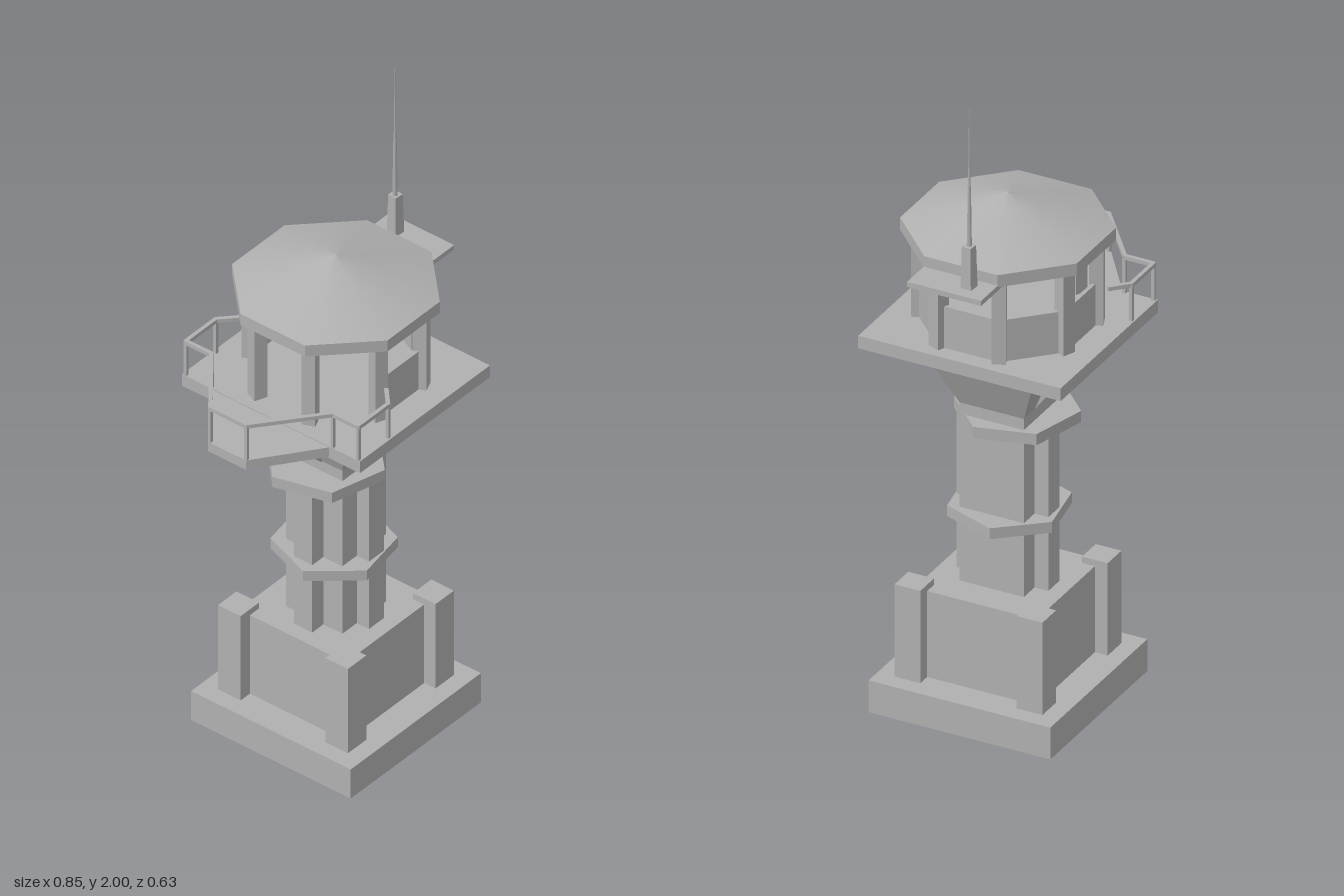
import * as THREE from 'three';

const concrete = new THREE.MeshStandardMaterial({ color: 0xb0b0b0, side: THREE.DoubleSide });
concrete.name = 'concrete grey';

export function createModel() {
  const model = new THREE.Group();
  model.name = 'watchtower';
  const tower = new THREE.Group();
  tower.name = 'tower';
  tower.position.x = 0.05; // the balcony pushes the shaft off centre
  model.add(tower);

  const add = (name, geo, x = 0, y = 0, z = 0, ry = 0, parent = tower) => {
    const m = new THREE.Mesh(geo, concrete);
    m.name = name;
    m.position.set(x, y, z);
    m.rotation.y = ry;
    parent.add(m);
    return m;
  };
  const flat = (geo) => {
    const g = geo.index ? geo.toNonIndexed() : geo;
    g.computeVertexNormals();
    return g;
  };
  // box standing on y0 and reaching y1
  const block = (name, w, y0, y1, d, x = 0, z = 0, ry = 0) =>
    add(name, new THREE.BoxGeometry(w, y1 - y0, d), x, (y0 + y1) / 2, z, ry);
  // box without its underside, and optionally without its top
  const openBox = (w, h, d, openTop) => {
    const g = new THREE.BoxGeometry(w, h, d);
    const idx = Array.from(g.index.array);
    idx.splice(openTop ? 12 : 18, openTop ? 12 : 6);
    g.clearGroups();
    g.setIndex(idx);
    return g;
  };
  // flat prism lying in the ground plane, from [x, z] corners
  const slab = (points, h, hole) => {
    const s = new THREE.Shape(points.map(([x, z]) => new THREE.Vector2(x, -z)));
    if (hole) s.holes.push(new THREE.Path(hole.map(([x, z]) => new THREE.Vector2(x, -z))));
    return new THREE.ExtrudeGeometry(s, { depth: h, bevelEnabled: false }).rotateX(-Math.PI / 2);
  };
  const square = (r) => [[-r, r], [r, r], [r, -r], [-r, -r]];

  // hollow foundation
  add('foundationWalls', openBox(0.565, 0.095, 0.565, true), 0, 0.0475);
  add('foundationLedge', slab(square(0.2825), 0.005, square(0.19)), 0, 0.095);
  add('plinth', openBox(0.38, 0.275, 0.38), 0, 0.2325);
  for (const sx of [-1, 1]) for (const sz of [-1, 1])
    block('cornerPillar', 0.08, 0.1, 0.39, 0.08, sx * 0.19, sz * 0.19);

  // square shaft with ribs on three sides
  block('shaft', 0.19, 0.37, 0.94, 0.2);
  const ribAngles = [Math.PI / 2, Math.PI, -Math.PI / 2];
  for (const a of ribAngles) {
    const rib = new THREE.Group();
    rib.name = 'shaftRib';
    rib.rotation.y = a;
    tower.add(rib);
    add('rib', new THREE.BoxGeometry(0.06, 0.51, 0.01), 0, 0, 0); // replaced below by full rib
    rib.add(tower.children.pop());
    const m = rib.children[0];
    m.parent = rib;
    m.geometry = new THREE.BoxGeometry(0.065, 0.51, 0.06);
    // local +x is outward after the turn
    m.geometry.rotateY(Math.PI / 2);
    m.position.set(0.113, 0.625, 0);
  }

  // flared head: core frustum and spreading brackets
  const flare = new THREE.BoxGeometry(1, 0.205, 1);
  const fp = flare.attributes.position;
  for (let i = 0; i < fp.count; i++) {
    const top = fp.getY(i) > 0;
    fp.setX(i, fp.getX(i) * (top ? 0.37 : 0.19));
    fp.setZ(i, fp.getZ(i) * (top ? 0.37 : 0.2));
  }
  add('flaredHead', flat(flare), 0, 1.0325);
  for (const a of ribAngles) {
    const g = new THREE.BoxGeometry(1, 0.205, 1);
    const p = g.attributes.position;
    for (let i = 0; i < p.count; i++) {
      const top = p.getY(i) > 0;
      p.setX(i, p.getX(i) > 0 ? (top ? 0.26 : 0.1) : 0.04);
      p.setZ(i, p.getZ(i) * (top ? 0.085 : 0.06));
    }
    add('flareBracket', flat(g), 0, 1.0325, 0, a);
  }

  // six-sided collars around the shaft
  const collar = (r, y0, y1, x, z, deg) => {
    const pts = [];
    for (let i = 0; i < 6; i++) {
      const a = THREE.MathUtils.degToRad(deg + i * 60);
      pts.push([r * Math.cos(a), r * Math.sin(a)]);
    }
    add('collar', slab(pts, y1 - y0), x, y0, z);
  };
  collar(0.175, 0.568, 0.602, -0.008, 0, -10);
  collar(0.179, 0.86, 0.895, -0.028, -0.015, 15);

  // deck and balcony
  block('deck', 0.565, 1.135, 1.175, 0.63);
  add('balcony', slab([[-0.27, 0.215], [-0.27, -0.215], [-0.473, -0.067], [-0.473, 0.067]], 0.032), 0, 1.14);

  // handrail with posts
  const half = [[-0.1, 0.26], [-0.148, 0.305], [-0.277, 0.305], [-0.277, 0.215], [-0.467, 0.064]];
  const path = [...half, ...half.map(([x, z]) => [x, -z]).reverse()];
  path.forEach(([x, z], i) => {
    if (i > 0 && i < path.length - 1) block('railPost', 0.01, 1.165, 1.29, 0.01, x, z);
    if (i === path.length - 1) return;
    const [x2, z2] = path[i + 1];
    const len = Math.hypot(x2 - x, z2 - z);
    block('handrail', len + 0.006, 1.281, 1.293, 0.012, (x + x2) / 2, (z + z2) / 2, -Math.atan2(z2 - z, x2 - x));
  });

  // eight-sided cabin, open towards the balcony
  for (let i = 0; i < 8; i++) {
    const a = (i * Math.PI) / 4, c = a + Math.PI / 8;
    block('cabinColumn', 0.04, 1.17, 1.44, 0.04, 0.245 * Math.cos(c), 0.245 * Math.sin(c), -c);
    if (i < 3 || i > 5)
      block('cabinWall', 0.012, 1.17, 1.305, 0.18, 0.226 * Math.cos(a), 0.226 * Math.sin(a), -a);
  }

  // roof
  const R = 0.275 / Math.cos(Math.PI / 8);
  add('roofEdge', flat(new THREE.CylinderGeometry(R, R, 0.038, 8)), 0, 1.455, 0, Math.PI / 8);
  add('roof', new THREE.ConeGeometry(R, 0.096, 8, 4, true), 0, 1.522, 0, Math.PI / 8);

  // side shelf and mast
  block('mastShelf', 0.14, 1.425, 1.441, 0.23, 0.302);
  add('mastBase', flat(new THREE.CylinderGeometry(0.02, 0.024, 0.13, 4)), 0.317, 1.505, -0.048, 0.7);
  add('mastLower', new THREE.CylinderGeometry(0.005, 0.008, 0.19, 6), 0.315, 1.665, -0.048);
  add('mastUpper', new THREE.CylinderGeometry(0.001, 0.004, 0.24, 6), 0.315, 1.88, -0.048);
  return model;
}
